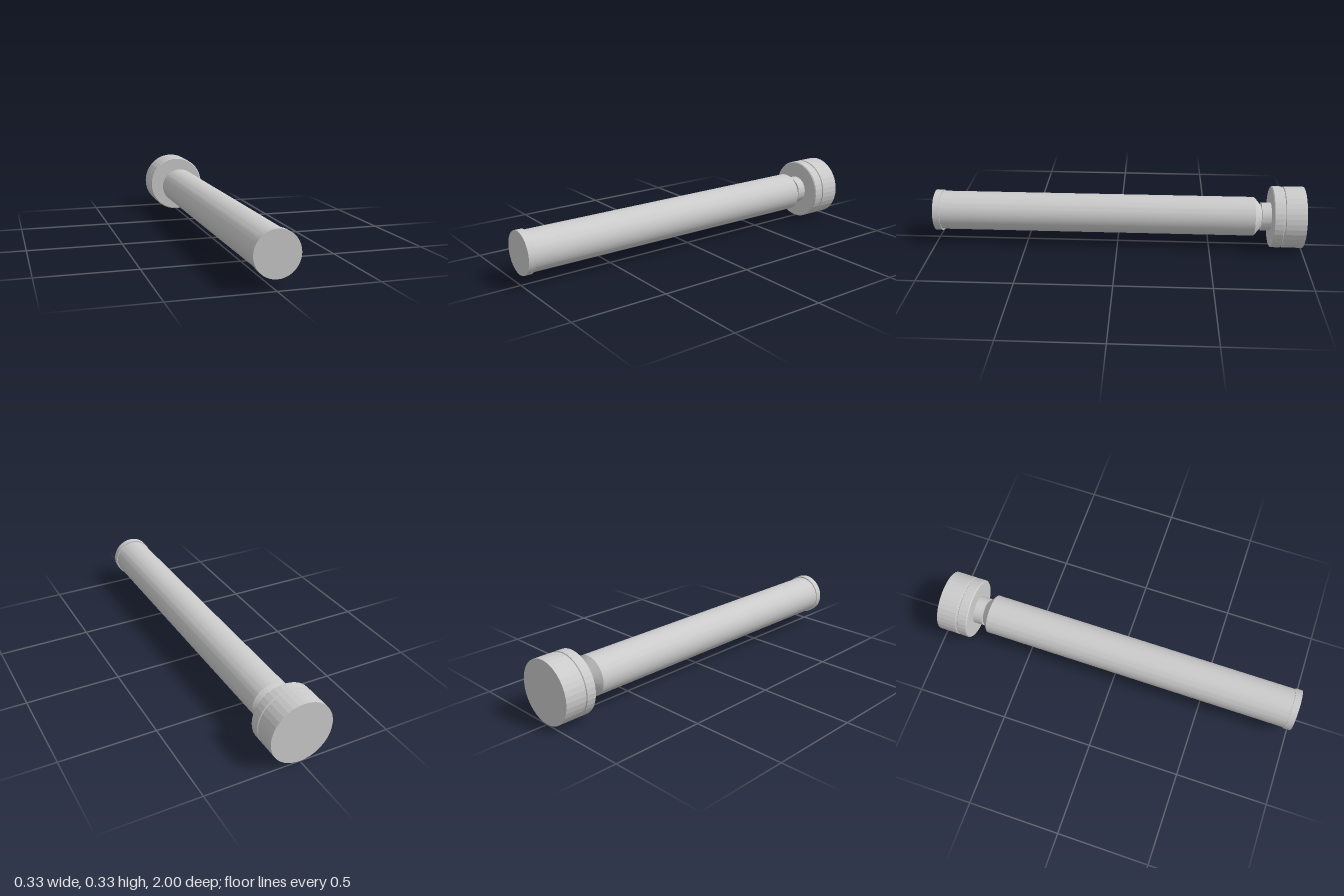
import * as THREE from 'three';
import { toCreasedNormals } from 'three/addons/utils/BufferGeometryUtils.js';

const AXIS_HEIGHT = 0.167;

// Turned part: profile of [radius, z] pairs running from back (-z) to front (+z).
function turned(name, profile, segments, crease) {
  const points = profile.map(([r, z]) => new THREE.Vector2(r, z));
  const lathe = new THREE.LatheGeometry(points, segments).rotateX(Math.PI / 2);
  const mesh = new THREE.Mesh(
    toCreasedNormals(lathe, crease),
    new THREE.MeshStandardMaterial({ color: 0xcccccc })
  );
  mesh.name = name;
  mesh.position.y = AXIS_HEIGHT;
  return mesh;
}

export function createModel() {
  const group = new THREE.Group();
  group.name = 'pin';

  // Long shaft with a chamfered back end, very slightly flattened in height
  const shaft = turned('shaft', [
    [0, -0.778], [0.06, -0.778], [0.108, -0.738], [0.108, 0.97], [0, 0.97],
  ], 64, 0.4);
  shaft.scale.y = 0.97;
  group.add(shaft);

  // Collar closing the front end
  group.add(turned('endCollar', [
    [0, 0.963], [0.112, 0.963], [0.112, 1], [0, 1],
  ], 64, 0.4));

  // Narrow neck joining shaft and head
  group.add(turned('neck', [
    [0, -0.84], [0.077, -0.84], [0.077, -0.776], [0, -0.776],
  ], 48, 0.4));

  // Faceted head with a thin groove and softened front rim
  group.add(turned('head', [
    [0, -1], [0.166, -1], [0.166, -0.892], [0.161, -0.889],
    [0.161, -0.883], [0.166, -0.88], [0.166, -0.832], [0.161, -0.827], [0, -0.827],
  ], 36, 0.1));

  return group;
}
